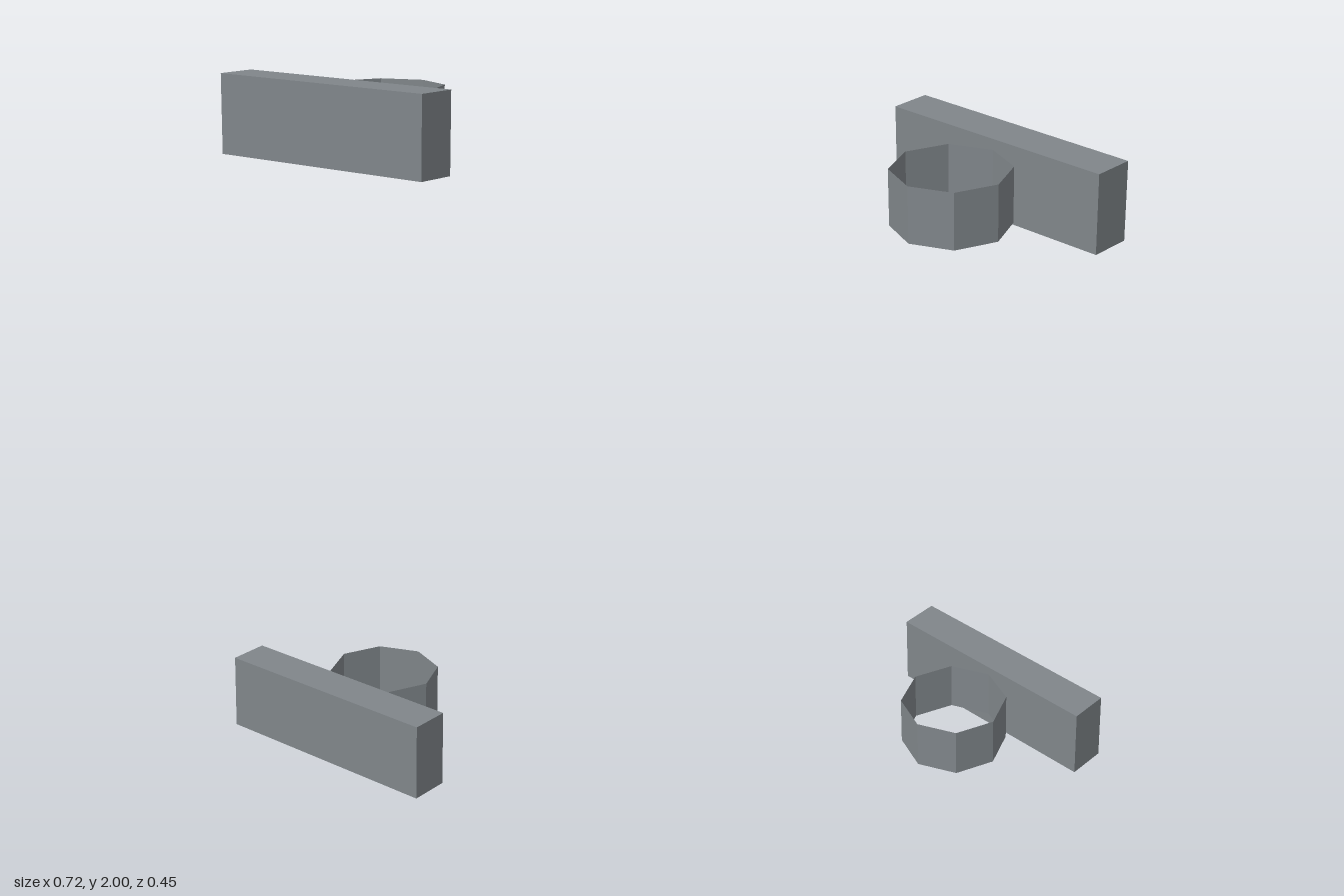
import * as THREE from 'three';

export function createModel() {
  const model = new THREE.Group();
  model.name = 'bracketPair';

  const steel = new THREE.MeshStandardMaterial({ color: 0x80868a });
  steel.name = 'grey steel';
  steel.flatShading = true;
  steel.side = THREE.DoubleSide; // the rings are open, thin sheet

  const plateGeometry = new THREE.BoxGeometry(0.72, 0.225, 0.12);
  const ringGeometry = new THREE.CylinderGeometry(0.165, 0.165, 0.16, 8, 1, true);

  // One bracket: a flat plate in front with an octagonal ring behind it
  function addBracket(name, plateY, ringY) {
    const bracket = new THREE.Group();
    bracket.name = name;

    const plate = new THREE.Mesh(plateGeometry, steel);
    plate.name = 'plate';
    plate.position.set(0, plateY, 0.165);

    const ring = new THREE.Mesh(ringGeometry, steel);
    ring.name = 'ring';
    ring.position.set(0, ringY, -0.06);

    bracket.add(plate, ring);
    model.add(bracket);
  }

  addBracket('lowerBracket', 0.1125, 0.117);
  addBracket('upperBracket', 1.8875, 1.889);

  return model;
}
